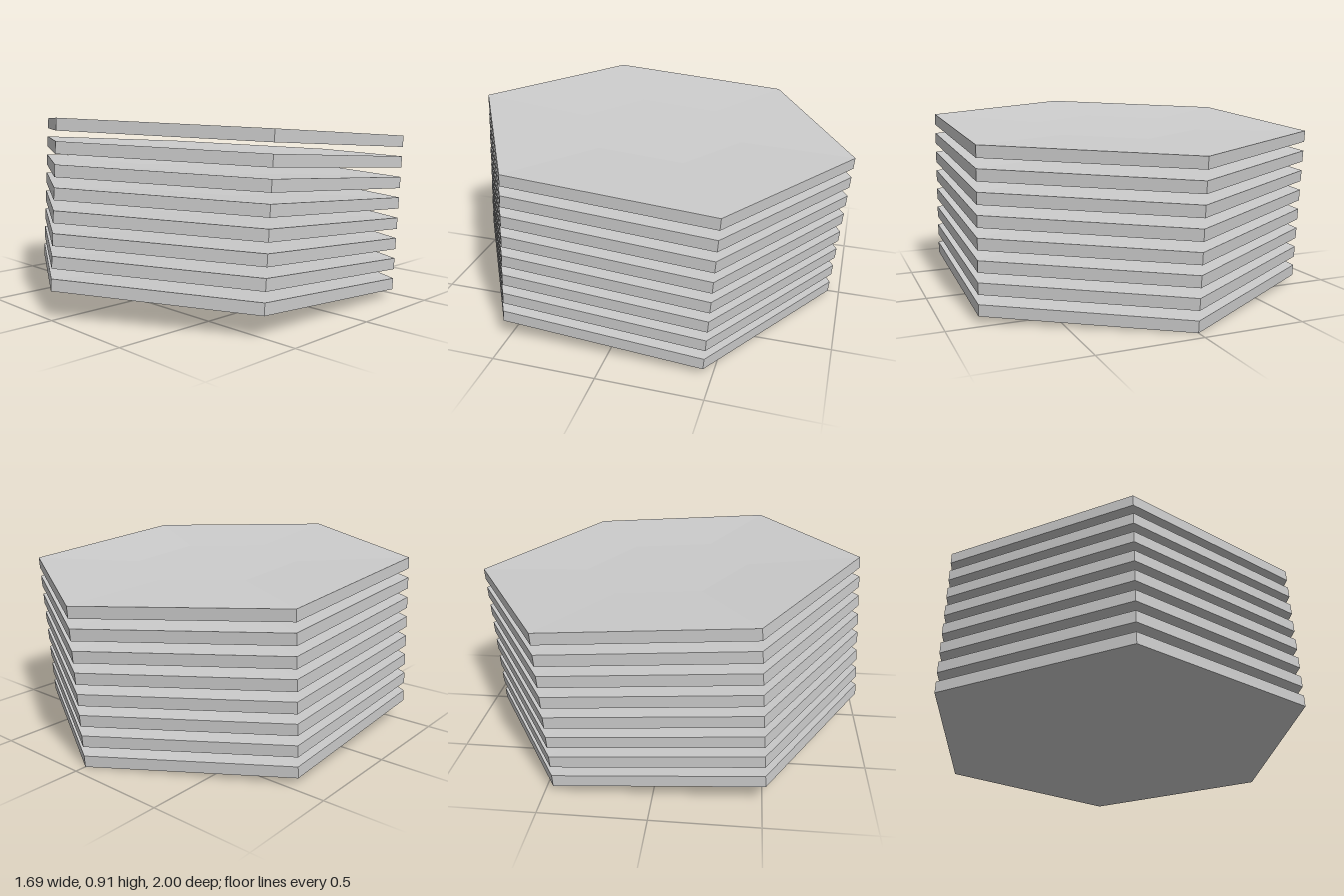
import * as THREE from 'three';

const RADIUS = 0.974;
const THICKNESS = 0.056;
const STEP = 0.1025;
const COUNT = 8;
const TILT = THREE.MathUtils.degToRad(4);

// Hexagonal plate: flat underside, straight rim, shallow dished top
function plateGeometry() {
  const dishRadius = 0.415, dishDepth = 0.02;
  const profile = [
    [0, 0],
    [RADIUS, 0],
    [RADIUS, THICKNESS],
    [dishRadius, THICKNESS - dishDepth],
    [0, THICKNESS - dishDepth],
  ].map(([r, y]) => new THREE.Vector2(r, y));
  return new THREE.LatheGeometry(profile, 6);
}

export function createModel() {
  const model = new THREE.Group();
  model.name = 'plateStack';

  const material = new THREE.MeshStandardMaterial({ color: 0xcccccc, flatShading: true });
  const geometry = plateGeometry();

  // Evenly spaced plates, stacked along a slightly tilted axis
  const stack = new THREE.Group();
  stack.name = 'tiltedStack';
  for (let i = 0; i < COUNT; i++) {
    const plate = new THREE.Mesh(geometry, material);
    plate.name = `hexPlate${i + 1}`;
    plate.position.y = i * STEP;
    stack.add(plate);
  }

  // Raise the front; the rear corner of the lowest plate rests on the floor
  const height = (COUNT - 1) * STEP + THICKNESS;
  stack.rotation.x = -TILT;
  stack.position.set(0, RADIUS * Math.sin(TILT), (height * Math.sin(TILT)) / 2);
  model.add(stack);
  return model;
}
